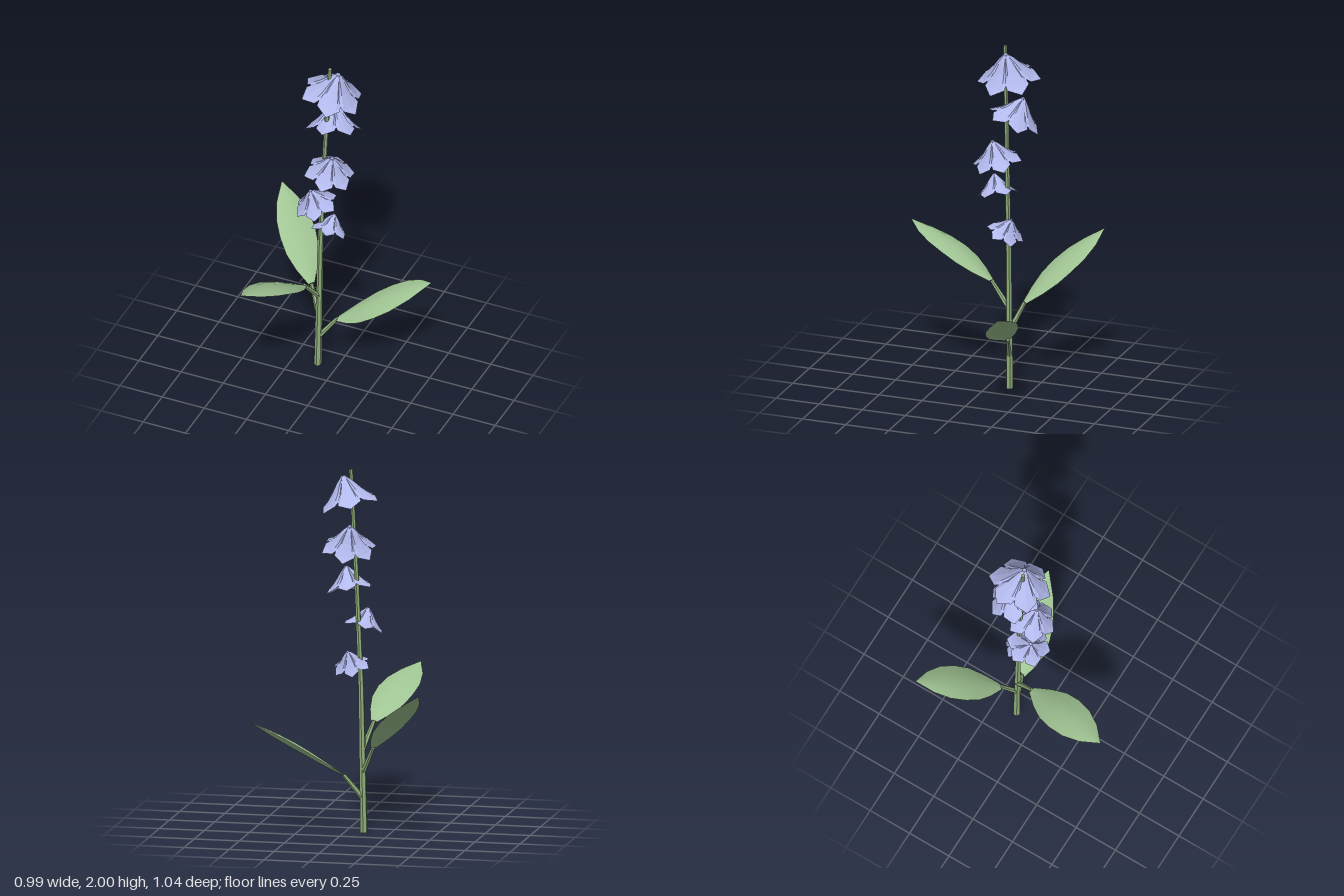
import * as THREE from 'three';

const V = (x, y, z) => new THREE.Vector3(x, y, z);
const material = (color, flatShading = false) =>
  new THREE.MeshStandardMaterial({ color, flatShading, side: THREE.DoubleSide });
const stemGreen = material(0x8fae7c, true);
const leafGreen = material(0xa0c493);
const petalBlue = material(0xb2b9ec, true);

function named(geometry, mat, name) {
  const mesh = new THREE.Mesh(geometry, mat);
  mesh.name = name;
  return mesh;
}

// Surface lofted through rows that all hold the same number of points
function loft(rows) {
  const n = rows[0].length;
  const index = [];
  for (let i = 0; i < rows.length - 1; i++) {
    for (let j = 0; j < n - 1; j++) {
      const a = i * n + j, b = a + n;
      index.push(a, a + 1, b, a + 1, b + 1, b);
    }
  }
  const geometry = new THREE.BufferGeometry().setFromPoints(rows.flat());
  geometry.setIndex(index);
  geometry.computeVertexNormals();
  return geometry;
}

// Tapered six-sided rod between two points
function rod(a, b, rA, rB, name) {
  const mesh = named(new THREE.CylinderGeometry(rB, rA, a.distanceTo(b), 6), stemGreen, name);
  mesh.position.copy(a).lerp(b, 0.5);
  mesh.quaternion.setFromUnitVectors(V(0, 1, 0), b.clone().sub(a).normalize());
  return mesh;
}

// Leaf: a petiole, then a blade along a curve, arched so its edges droop
function leaf(root, base, mid, tip, side) {
  const group = new THREE.Group();
  group.name = 'leaf';
  group.add(rod(root, base, 0.016, 0.011, 'petiole'));
  const rib = new THREE.CatmullRomCurve3([base, mid, tip]);
  const widths = [0.18, 0.62, 0.92, 1, 0.92, 0.6, 0.01];
  const rows = widths.map((w, i) => {
    const p = rib.getPoint(i / (widths.length - 1));
    return [-1, -0.5, 0, 0.5, 1].map((u) =>
      p.clone().addScaledVector(side, u * w).add(V(0, 0.026 * w * (0.5 - u * u), 0)));
  });
  group.add(named(loft(rows), leafGreen, 'leafBlade'));
  return group;
}

// Petal rows: radius, depth below the cap, half width, inward fold of the edges
const petalRows = [
  [0.014, 0.0, 0.009, 0], [0.045, 0.032, 0.026, 0.012], [0.08, 0.078, 0.045, 0.014],
  [0.112, 0.112, 0.06, 0.006], [0.138, 0.137, 0.064, 0], [0.174, 0.162, 0.004, 0],
];
const petalGeometry = loft(petalRows.map(([r, d, w, fold]) =>
  [-1, -0.7, 0, 0.7, 1].map((u) => {
    const sink = Math.abs(u) === 1 ? fold : 0;
    return V(u * w, -d - sink, r - Math.abs(u) * w * 0.12 - sink);
  })));

// Hanging bell of six petals; axis is the direction the bell opens
function flower(apex, axis, scale, turn) {
  const group = new THREE.Group();
  group.name = 'flower';
  for (let i = 0; i < 6; i++) {
    const petal = named(petalGeometry, petalBlue, 'petal');
    petal.rotation.y = turn + (i * Math.PI) / 3;
    group.add(petal);
  }
  const cap = named(new THREE.CylinderGeometry(0.013, 0.02, 0.018, 6), petalBlue, 'flowerCap');
  cap.position.y = -0.002;
  const core = named(new THREE.CylinderGeometry(0.01, 0.027, 0.1, 6), stemGreen, 'flowerCore');
  core.position.y = -0.062;
  group.add(cap, core);
  group.position.copy(apex);
  group.quaternion.setFromUnitVectors(V(0, -1, 0), axis.normalize());
  group.scale.setScalar(scale);
  return group;
}

export function createModel() {
  const model = new THREE.Group();
  model.name = 'floweringPlant';

  // Leaning stem
  const stemPoints = [V(-0.105, 0, -0.12), V(-0.09, 0.8, -0.12), V(-0.065, 1.4, -0.12), V(-0.034, 2, -0.122)];
  const radii = [0.021, 0.016, 0.0135, 0.011];
  const stem = new THREE.Group();
  stem.name = 'stem';
  for (let i = 0; i < 3; i++) {
    stem.add(rod(stemPoints[i], stemPoints[i + 1], radii[i], radii[i + 1], 'stemSection'));
  }
  model.add(stem);

  // Three leaves around the stem
  model.add(
    leaf(V(-0.1, 0.19, -0.12), V(0, 0.32, -0.15), V(0.24, 0.475, -0.208), V(0.495, 0.615, -0.283), V(0.015, 0.052, -0.1)),
    leaf(V(-0.1, 0.46, -0.12), V(-0.135, 0.595, -0.005), V(-0.2, 0.735, 0.24), V(-0.277, 0.833, 0.517), V(0.105, 0.012, 0.03)),
    leaf(V(-0.1, 0.33, -0.12), V(-0.17, 0.48, -0.182), V(-0.325, 0.675, -0.345), V(-0.498, 0.84, -0.52), V(-0.069, 0, 0.08)),
  );

  // Flowers, growing larger toward the top
  model.add(
    flower(V(-0.025, 1.0, -0.16), V(-0.15, -1, 0.45), 0.61, 0.2),
    flower(V(-0.108, 1.22, -0.03), V(0.22, -1, -0.25), 0.7, 0.3),
    flower(V(0.005, 1.45, -0.063), V(-0.2, -1, -0.15), 0.8, 0.1),
    flower(V(-0.05, 1.7, -0.22), V(0.12, -1, 0.38), 0.88, 0),
    flower(V(0.005, 1.96, -0.14), V(-0.25, -1, -0.03), 1, 0.25),
  );
  return model;
}
